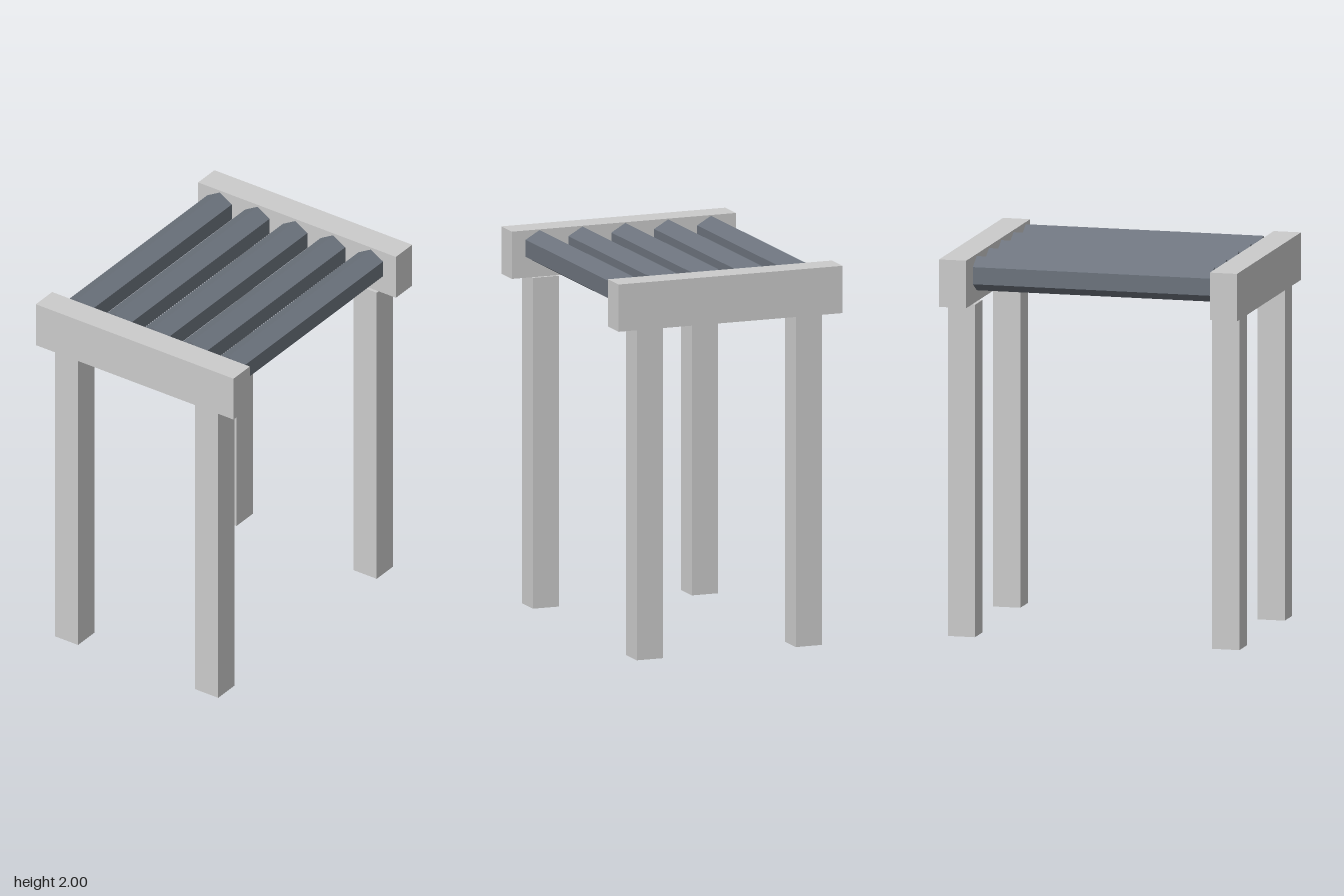
import * as THREE from 'three';

export function createModel() {
  const group = new THREE.Group();
  const frameMat = new THREE.MeshStandardMaterial({ color: 0xcccccc, flatShading: true });
  const slatMat = new THREE.MeshStandardMaterial({ color: 0x6c737d, flatShading: true });

  const add = (name, geometry, material, x, y, z) => {
    const mesh = new THREE.Mesh(geometry, material);
    mesh.name = name;
    mesh.position.set(x, y, z);
    group.add(mesh);
  };

  // End rails, each standing on a pair of square legs
  const thick = 0.146;
  const railGeo = new THREE.BoxGeometry(1.255, 0.25, thick);
  const legGeo = new THREE.BoxGeometry(thick, 1.75, thick);
  for (const [end, sz] of [['front', 1], ['back', -1]]) {
    add(`${end}Rail`, railGeo, frameMat, 0, 1.875, sz * 0.727);
    for (const [side, sx] of [['Left', 1], ['Right', -1]]) {
      add(`${end}${side}Leg`, legGeo, frameMat, sx * 0.445, 0.875, sz * 0.71);
    }
  }

  // Hexagonal seat slats running front to back, with an edge on top
  const slatGeo = new THREE.CylinderGeometry(0.09, 0.09, 1.275, 6).rotateX(Math.PI / 2);
  for (let i = -2; i <= 2; i++) {
    add(`seatSlat${i + 3}`, slatGeo, slatMat, i * 0.24, 1.91, 0);
  }

  return group;
}
